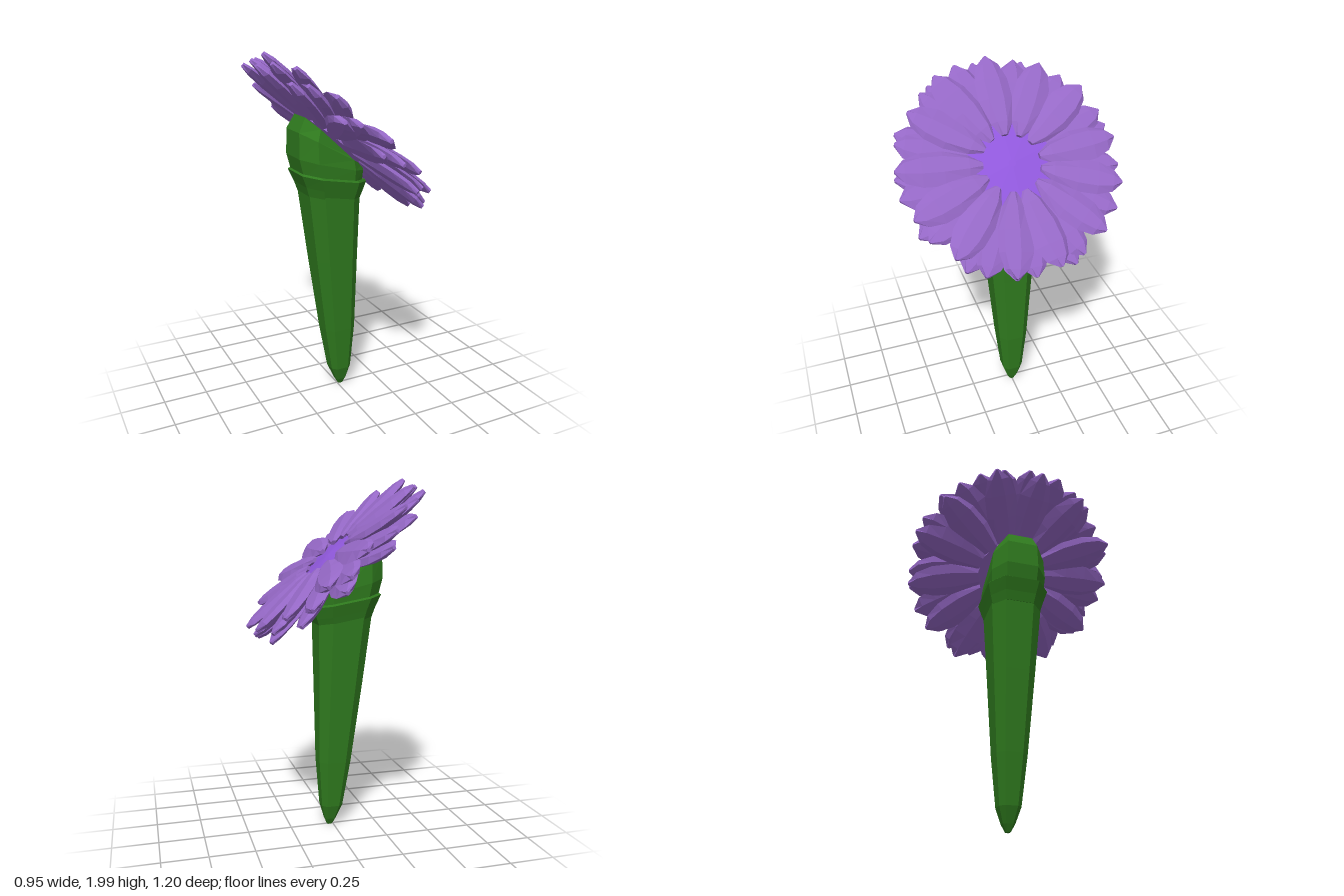
import * as THREE from 'three';

const material = (color) => new THREE.MeshStandardMaterial({ color, flatShading: true });

// Skin a list of rings (counter-clockwise about the growth direction) and cap both ends.
function loft(rings) {
  const n = rings[0].length, pos = [], idx = [];
  rings.forEach((ring) => ring.forEach((p) => pos.push(...p)));
  for (let j = 0; j < rings.length - 1; j++) {
    for (let i = 0; i < n; i++) {
      const a = j * n + i, b = j * n + (i + 1) % n;
      idx.push(a, b, b + n, a, b + n, a + n);
    }
  }
  const last = (rings.length - 1) * n;
  for (let i = 1; i < n - 1; i++) {
    idx.push(0, i + 1, i, last, last + i, last + i + 1);
  }
  const geometry = new THREE.BufferGeometry();
  geometry.setAttribute('position', new THREE.Float32BufferAttribute(pos, 3));
  geometry.setIndex(idx);
  geometry.computeVertexNormals();
  return geometry;
}

// Bevelled-square section: left and right x, height at the middle, half depth, slope along x.
const K = 0.57;
const SECTION = [[1, K], [1, -K], [K, -1], [-K, -1], [-1, -K], [-1, K], [-K, 1], [K, 1]];
function stalkRing([left, right, y, depth, slope]) {
  const half = (right - left) / 2, mid = (right + left) / 2;
  return SECTION.map(([u, v]) => [mid + u * half, y + slope * u * half, v * depth]);
}

// Plump petal growing along +y from the base, with a raised band above and below.
function petalGeometry(length, width, lean) {
  const stations = [
    [0, 0.2, 0.5], [0.16, 0.66, 0.9], [0.45, 1, 1], [0.7, 0.98, 1], [0.89, 0.68, 0.85], [1, 0.1, 0.5],
  ];
  return loft(stations.map(([t, w, h]) => {
    const x = w * width / 2, z = h * 0.023, y = t * length;
    const a = x * (lean + 0.45), b = x * (lean - 0.45);
    return [[x, y, 0], [a, y, -z], [b, y, -z], [-x, y, 0], [b, y, z], [a, y, z]];
  }));
}

export function createModel() {
  const model = new THREE.Group();
  const green = material(0x2f7a1e);
  const purple = material(0x9568c6);
  const violet = material(0x9058dc);

  const add = (parent, name, geometry, mat) => {
    const mesh = new THREE.Mesh(geometry, mat);
    mesh.name = name;
    parent.add(mesh);
    return mesh;
  };

  // Tapering stalk, flared collar and the bulb under the bloom
  const stalkParts = {
    stem: [
      [0.005, 0.035, 0.005, 0.012, 0],
      [-0.015, 0.05, 0.045, 0.033, 0],
      [-0.05, 0.072, 0.13, 0.06, 0],
      [-0.095, 0.09, 0.4, 0.086, 0],
      [-0.155, 0.095, 0.85, 0.118, 0],
      [-0.208, 0.1, 1.25, 0.146, -0.18],
    ],
    collar: [
      [-0.205, 0.095, 1.21, 0.14, -0.18],
      [-0.222, 0.112, 1.26, 0.155, -0.18],
      [-0.252, 0.13, 1.325, 0.175, -0.18],
      [-0.24, 0.122, 1.335, 0.168, -0.18],
      [-0.21, 0.1, 1.325, 0.14, -0.18],
    ],
    bulb: [
      [-0.235, 0.108, 1.31, 0.152, -0.18],
      [-0.262, 0.116, 1.4, 0.16, -0.25],
      [-0.26, 0.108, 1.485, 0.152, -0.55],
      [-0.218, 0.08, 1.525, 0.125, -0.92],
    ],
  };
  for (const [name, rows] of Object.entries(stalkParts)) {
    add(model, name, loft(rows.map(stalkRing)), green);
  }

  // Flat bloom, tilted so its face looks up and towards +x
  const bloom = new THREE.Group();
  bloom.name = 'bloom';
  bloom.setRotationFromMatrix(new THREE.Matrix4().makeBasis(
    new THREE.Vector3(0, 0, -1),
    new THREE.Vector3(-0.73, 0.68, 0).normalize(),
    new THREE.Vector3(0.68, 0.73, 0).normalize(),
  ));
  bloom.position.set(0, 1.55, 0);
  model.add(bloom);

  // Shallow domed heart showing between the front petal bases
  const heart = add(bloom, 'heart', new THREE.CylinderGeometry(0.02, 0.25, 0.02, 10), violet);
  heart.rotation.x = Math.PI / 2;
  heart.position.z = 0.03;

  // Disc behind the heart that closes the middle of the petal layers
  const backing = add(bloom, 'backing', new THREE.CylinderGeometry(0.2, 0.2, 0.075, 13), purple);
  backing.rotation.x = Math.PI / 2;
  backing.position.z = -0.02;

  // Staggered petal layers with small repeating variation
  const layers = [
    { name: 'frontPetal', count: 13, inner: 0.155, outer: 0.6, width: 0.185, z: 0.038, turn: 0 },
    { name: 'middlePetal', count: 13, inner: 0.14, outer: 0.605, width: 0.185, z: 0, turn: 0.24 },
    { name: 'backPetal', count: 13, inner: 0.12, outer: 0.61, width: 0.185, z: -0.038, turn: 0.1 },
  ];
  layers.forEach((layer, k) => {
    for (let i = 0; i < layer.count; i++) {
      const wobble = Math.sin(i * 2.4 + k * 1.7);
      const length = layer.outer - layer.inner + 0.008 * wobble;
      const arm = new THREE.Group();
      arm.name = layer.name;
      arm.rotation.z = layer.turn + i * 2 * Math.PI / layer.count + 0.04 * wobble;
      const blade = add(arm, layer.name + 'Blade', petalGeometry(length, layer.width, 0.25 * wobble), purple);
      blade.position.set(0, layer.inner, layer.z);
      bloom.add(arm);
    }
  });

  return model;
}
